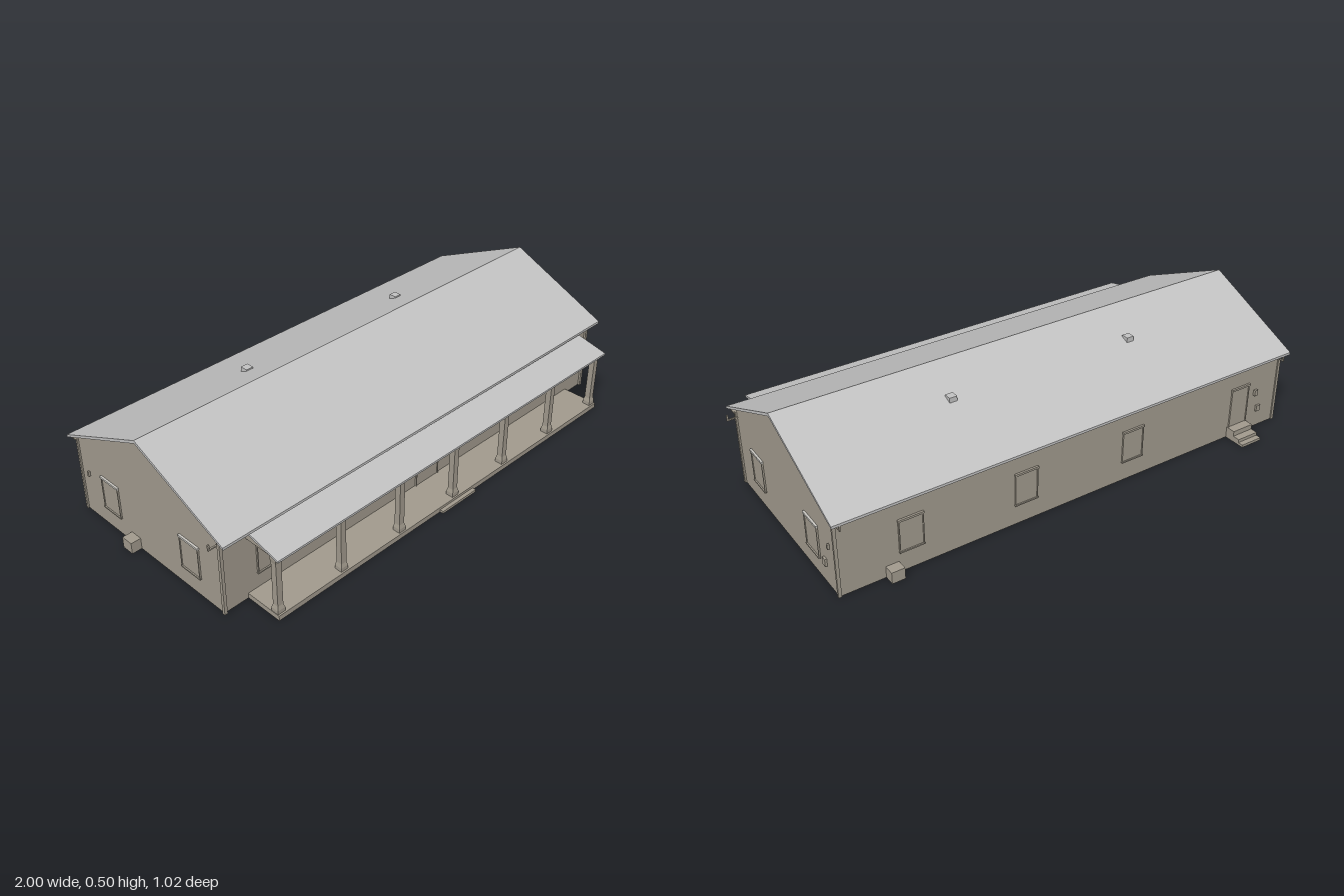
import * as THREE from 'three';

export function createModel() {
  const root = new THREE.Group();
  const wallMat = new THREE.MeshStandardMaterial({ name: 'tan wall', color: 0xa19a8d, side: THREE.DoubleSide });
  const roofMat = new THREE.MeshStandardMaterial({ name: 'grey roof', color: 0xc2c2c2 });
  const trimMat = new THREE.MeshStandardMaterial({ name: 'light trim', color: 0xc8c6c0 });

  function add(name, geo, mat = wallMat, parent = root) {
    const m = new THREE.Mesh(geo, mat);
    m.name = name;
    parent.add(m);
    return m;
  }
  // box given by its limits on each axis
  function box(name, x0, x1, y0, y1, z0, z1, mat, parent) {
    const g = new THREE.BoxGeometry(x1 - x0, y1 - y0, z1 - z0);
    g.translate((x0 + x1) / 2, (y0 + y1) / 2, (z0 + z1) / 2);
    return add(name, g, mat, parent);
  }
  const outline = pts => new THREE.Shape(pts.map(([z, y]) => new THREE.Vector2(-z, y)));
  // profile of [z, y] points drawn out along x
  function prism(name, pts, x0, x1, mat) {
    const g = new THREE.ExtrudeGeometry(outline(pts), { depth: x1 - x0, bevelEnabled: false });
    g.rotateY(Math.PI / 2).translate(x0, 0, 0);
    return add(name, g, mat);
  }

  // shell of the house, open underneath
  const W = 0.96, F = 0.345, B = -0.42, ridge = -0.03, wallTop = 0.317;
  const gable = [[F, 0], [F, wallTop], [ridge, 0.488], [B, wallTop - 0.005], [B, 0]];
  for (const s of [-1, 1]) {
    add('gableWall', new THREE.ShapeGeometry(outline(gable)).rotateY(Math.PI / 2).translate(s * W, 0, 0));
  }
  add('frontWall', new THREE.PlaneGeometry(2 * W, wallTop).translate(0, wallTop / 2, F));
  add('backWall', new THREE.PlaneGeometry(2 * W, wallTop).rotateY(Math.PI).translate(0, wallTop / 2, B));

  // corner boards
  for (const s of [-1, 1]) {
    const a = s * W;
    box('cornerBoard', a - 0.006, a + 0.006, 0, 0.305, F - 0.004, F + 0.008);
    box('cornerBoard', a - 0.006, a + 0.006, 0, 0.305, B - 0.005, B + 0.004);
  }

  // main roof, with flat soffits under the eaves
  prism('mainRoof', [[0.39, 0.302], [0.39, 0.312], [ridge, 0.5], [-0.455, 0.312], [-0.455, 0.302], [ridge, 0.488]],
    -0.98, 0.98, roofMat);
  box('frontSoffit', -0.97, 0.97, 0.3, 0.304, F, 0.387);
  box('backSoffit', -0.97, 0.97, 0.3, 0.304, -0.452, B);
  for (const x of [-0.385, 0.385]) box('roofVent', x - 0.015, x + 0.015, 0.4, 0.444, -0.2, -0.17, roofMat);

  // gutter brackets at the corners
  for (const s of [-1, 1]) {
    const x0 = s * 0.96, x1 = s * 0.997;
    box('sideBracketArm', Math.min(x0, x1), Math.max(x0, x1), 0.282, 0.287, 0.337, 0.343);
    box('sideBracketPost', x1 - 0.003, x1 + 0.003, 0.282, 0.305, 0.337, 0.343);
    box('backBracketArm', s * 0.95 - 0.003, s * 0.95 + 0.003, 0.28, 0.285, -0.452, B);
    box('backBracketPost', s * 0.95 - 0.003, s * 0.95 + 0.003, 0.28, 0.302, -0.453, -0.447);
  }

  // porch floor, front step and roof
  box('porchFloor', -0.86, 0.86, 0, 0.02, F, 0.495);
  box('frontStep', -0.09, 0.09, 0, 0.01, 0.49, 0.51);
  prism('porchRoof', [[0.508, 0.252], [0.508, 0.26], [F, 0.298], [F, 0.288]], -0.865, 0.865, roofMat);
  prism('porchRoofEnd', [[0.5, 0.25], [0.5, 0.254], [F, 0.289], [F, 0.25]], -0.855, -0.845);
  prism('porchRoofEnd', [[0.5, 0.25], [0.5, 0.254], [F, 0.289], [F, 0.25]], 0.845, 0.855);
  box('porchCeiling', -0.855, 0.855, 0.248, 0.252, F, 0.503);

  // porch posts with flared feet and caps
  const postProfile = [[0, 0.02], [0.022, 0.02], [0.022, 0.035], [0.0165, 0.05], [0.0165, 0.225], [0.021, 0.24], [0.021, 0.25], [0, 0.25]];
  for (let i = -3; i <= 3; i++) {
    const g = new THREE.LatheGeometry(postProfile.map(p => new THREE.Vector2(...p)), 4).toNonIndexed();
    g.computeVertexNormals();
    g.rotateY(Math.PI / 4).translate(i * 0.281, 0, 0.473);
    add('porchPost', g);
  }

  // window or door on a wall: built facing +z, then turned and placed
  function opening(name, w, y0, y1, x, z, turn, headMat = wallMat, sill = true) {
    const g = new THREE.Group();
    g.name = name;
    const h = w / 2;
    box('pane', -h, h, y0, y1, -0.002, 0.003, wallMat, g);
    for (const s of [-1, 1]) box('jamb', s * h - 0.002, s * h + 0.002, y0, y1, -0.002, 0.006, wallMat, g);
    box('header', -h - 0.004, h + 0.004, y1, y1 + 0.008, -0.002, 0.008, headMat, g);
    if (sill) box('sill', -h - 0.003, h + 0.003, y0 - 0.005, y0, -0.002, 0.008, wallMat, g);
    g.position.set(x, 0, z);
    g.rotation.y = turn;
    root.add(g);
  }
  for (const s of [-1, 1]) {
    for (const x of [0.2, 0.39, 0.58, 0.77]) opening('frontWindow', 0.09, 0.085, 0.205, s * x, F, 0);
    for (const z of [0.187, -0.248]) opening('sideWindow', 0.093, 0.08, 0.2, s * W, z, s * Math.PI / 2, trimMat);
  }
  for (const x of [0.69, 0.235, -0.235]) opening('backWindow', 0.09, 0.085, 0.205, x, B, Math.PI);
  opening('frontDoor', 0.115, 0.02, 0.2, 0, F, 0, wallMat, false);
  opening('backDoor', 0.085, 0.045, 0.205, -0.765, B, Math.PI, wallMat, false);

  // wall lamps and service boxes
  for (const s of [-1, 1]) {
    box('frontLamp', s * 0.087 - 0.009, s * 0.087 + 0.009, 0.15, 0.178, F, F + 0.014, trimMat);
    box('sideLamp', s * 0.963 - 0.005, s * 0.963 + 0.005, 0.167, 0.186, -0.379, -0.371);
  }
  box('meterBox', 0.958, 0.968, 0.075, 0.105, -0.346, -0.327);
  box('backLamp', -0.855, -0.84, 0.148, 0.172, B - 0.01, B);
  box('backServiceBox', -0.88, -0.86, 0.07, 0.095, B - 0.008, B);

  // back steps and ground units
  box('backLanding', -0.81, -0.715, 0, 0.045, -0.46, B);
  box('backMiddleStep', -0.81, -0.715, 0, 0.024, -0.49, -0.46);
  box('backLowerStep', -0.81, -0.715, 0, 0.011, -0.512, -0.49);
  box('backUnit', 0.74, 0.79, 0, 0.045, -0.46, B);
  box('sideUnit', -1, -W, 0, 0.045, -0.15, -0.1);
  return root;
}
